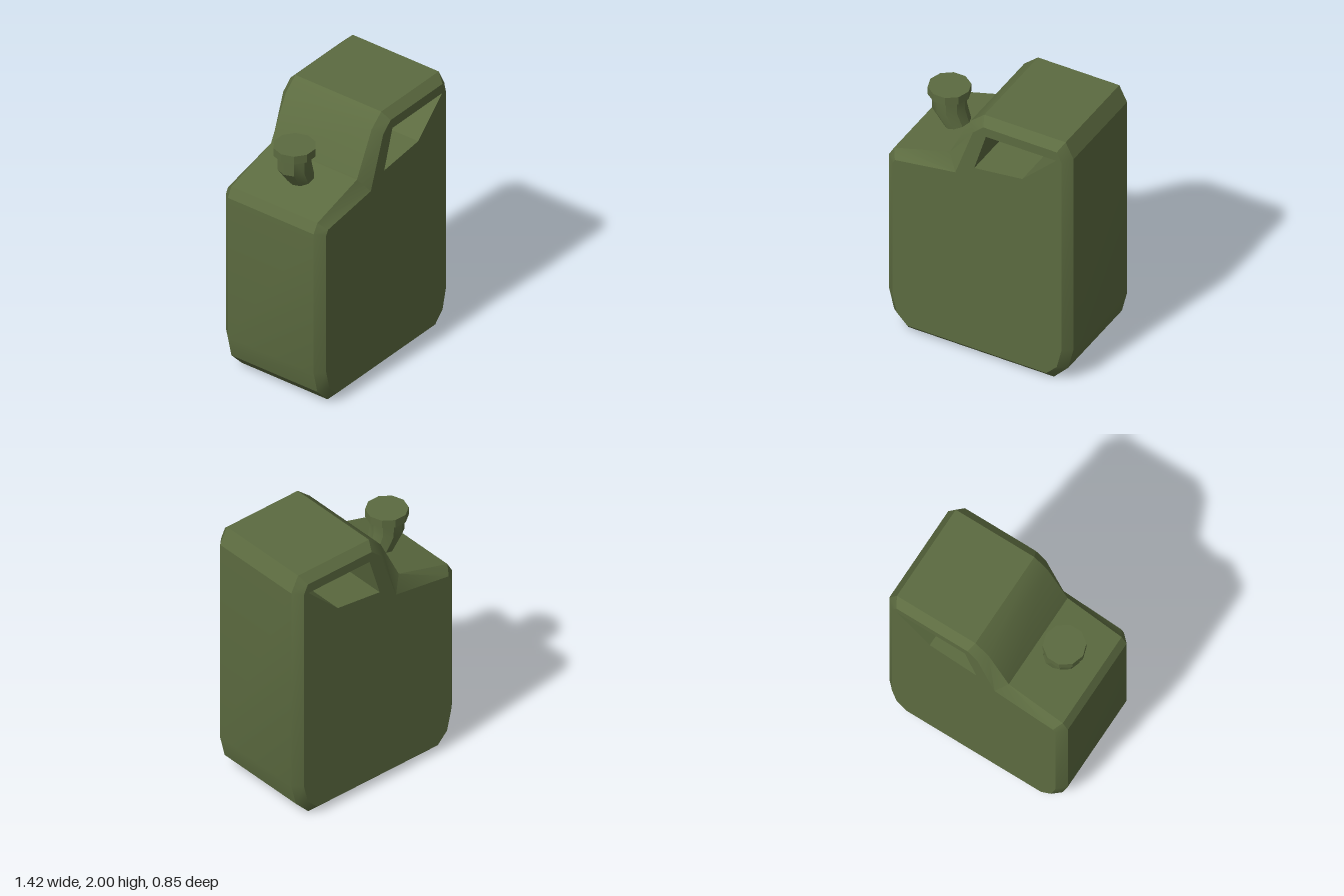
import * as THREE from 'three';
import { toCreasedNormals } from 'three/addons/utils/BufferGeometryUtils.js';

const CREASE = 0.45;

// Skin between successive rings of 3D points
function loft(rings) {
  const pos = [];
  for (let r = 0; r < rings.length - 1; r++) {
    const a = rings[r], b = rings[r + 1], n = a.length;
    for (let i = 0; i < n; i++) {
      const j = (i + 1) % n;
      pos.push(...a[i], ...b[i], ...b[j], ...a[i], ...b[j], ...a[j]);
    }
  }
  const g = new THREE.BufferGeometry();
  g.setAttribute('position', new THREE.Float32BufferAttribute(pos, 3));
  return toCreasedNormals(g, CREASE);
}

const atZ = (pts, z) => pts.map(([x, y]) => [x, y, z]);
const vec = (pts) => pts.map(([x, y]) => new THREE.Vector2(x, y));

export function createModel() {
  const model = new THREE.Group();
  model.name = 'jerryCan';
  const olive = new THREE.MeshStandardMaterial({ color: 0x5c6b40 });
  olive.name = 'olive green';
  const add = (name, geometry, parent = model) => {
    const mesh = new THREE.Mesh(geometry, olive);
    mesh.name = name;
    parent.add(mesh);
    return mesh;
  };

  // Silhouette, the inset outline of the broad faces, and the grip opening
  const outer = [
    [-0.56, 0], [0.56, 0], [0.67, 0.115], [0.71, 0.28], [0.71, 1.88], [0.65, 2], [0.025, 2],
    [-0.08, 1.91], [-0.24, 1.59], [-0.67, 1.465], [-0.71, 1.395], [-0.71, 0.28], [-0.67, 0.115],
  ];
  const inner = [
    [-0.535, 0.06], [0.535, 0.06], [0.615, 0.14], [0.65, 0.285], [0.65, 1.87], [0.615, 1.942], [0.05, 1.942],
    [-0.03, 1.87], [-0.165, 1.485], [-0.63, 1.415], [-0.65, 1.38], [-0.65, 0.285], [-0.615, 0.14],
  ];
  const grip = [[-0.02, 1.575], [0.07, 1.87], [0.61, 1.87], [0.35, 1.62]];
  const zFace = 0.425, zSide = 0.365;

  // Body: chamfered sides, broad faces and the walls of the grip opening
  const body = new THREE.Group();
  body.name = 'body';
  model.add(body);
  add('sides', loft([atZ(inner, zFace), atZ(outer, zSide), atZ(outer, -zSide), atZ(inner, -zFace)]), body);
  add('gripOpening', loft([atZ(grip, zFace), atZ(grip, -zFace)]), body);

  const face = new THREE.Shape(vec(inner));
  face.holes.push(new THREE.Path(vec(grip)));
  add('frontFace', new THREE.ShapeGeometry(face), body).position.z = zFace;

  const backFace = new THREE.Shape(vec(inner.map(([x, y]) => [-x, y])));
  backFace.holes.push(new THREE.Path(vec(grip.map(([x, y]) => [-x, y]))));
  const back = add('backFace', new THREE.ShapeGeometry(backFace), body);
  back.rotation.y = Math.PI;
  back.position.z = -zFace;

  // Bent ten-sided neck: tilt raises the +x side of a ring
  const ring = (x, y, r, tilt) => Array.from({ length: 10 }, (_, i) => {
    const t = (i / 10) * Math.PI * 2;
    return [x + r * Math.cos(t), y + tilt * Math.cos(t), -r * Math.sin(t)];
  });
  add('spoutNeck', loft([
    ring(-0.45, 1.78, 0.12, 0), ring(-0.45, 1.665, 0.118, 0.013), ring(-0.36, 1.49, 0.088, 0),
  ]));

  // Screw cap
  const cap = new THREE.CylinderGeometry(0.147, 0.147, 0.062, 10);
  cap.rotateY(Math.PI / 2);
  add('spoutCap', toCreasedNormals(cap, CREASE)).position.set(-0.45, 1.8, 0);

  return model;
}
